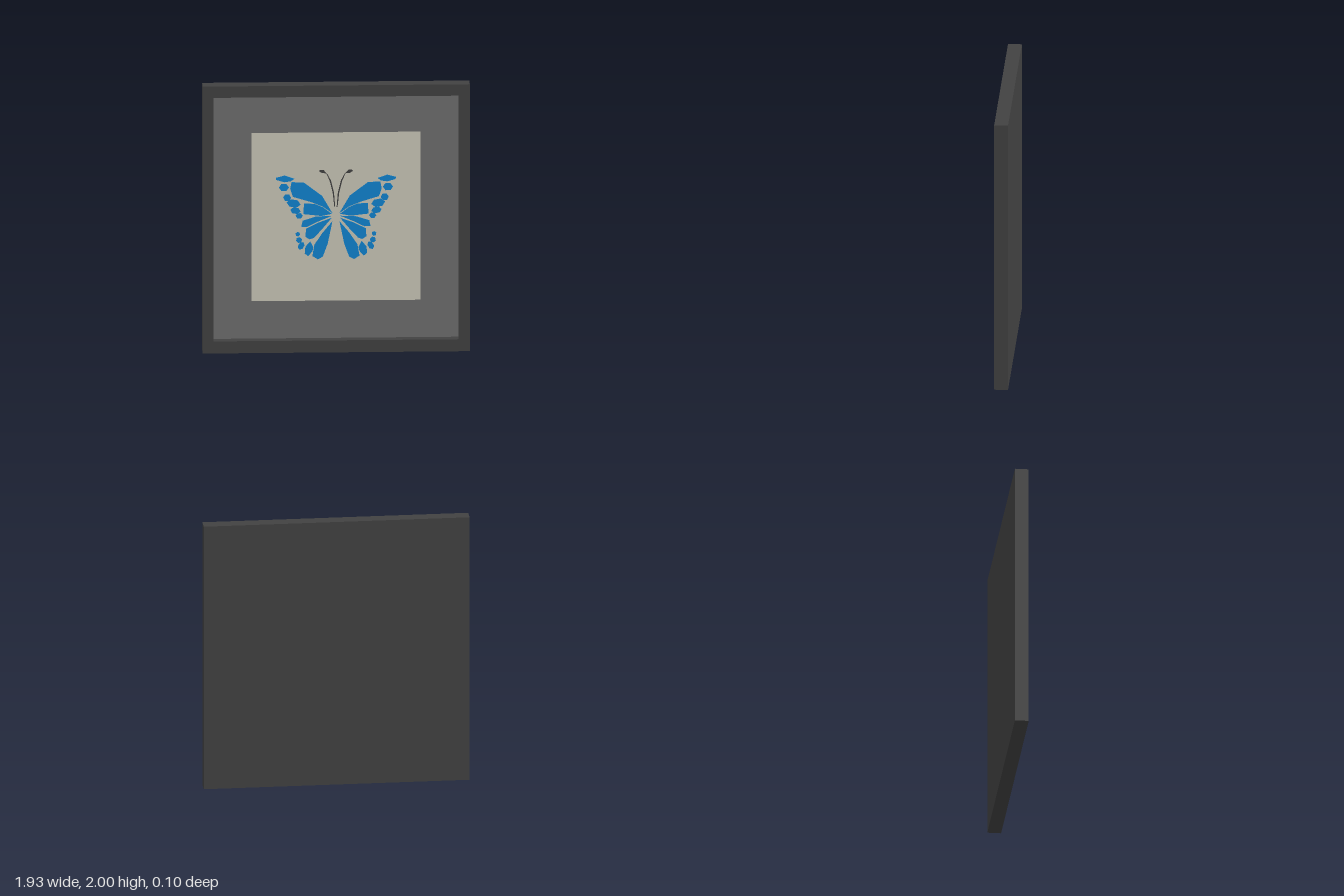
import * as THREE from 'three';

const mat = (name, color) => {
  const m = new THREE.MeshStandardMaterial({ color });
  m.name = name;
  return m;
};

// Wing cells of the left half, x and y in hundredths
const CELLS = {
  foreWingCell: [[2.5, 102.5], [10, 115.5], [23, 125.5], [32, 126], [33, 121], [31, 115], [18, 111], [9.5, 107.5]],
  middleWingCell: [[3, 102], [9.5, 107], [15.5, 109.5], [23, 110], [23.5, 102], [10.5, 100.5]],
  sideWingCell: [[3, 100.5], [14.5, 100], [24, 97], [25, 92.5], [20.5, 92.5], [12.5, 96.5]],
  innerWingCell: [[3, 99], [12.5, 95.5], [21.5, 91], [22, 85], [19, 83], [16, 84], [10.5, 90]],
  hindWingCell: [[2.5, 96.5], [9.5, 88], [15.5, 79], [17, 70.5], [13, 68], [9.5, 70], [6, 79.5]],
  hindWingTip: [[16.3, 77], [18.5, 81.5], [22, 77.5], [22.5, 72.5], [20, 70.5], [17, 74]],
  wingTip: [[30, 128.5], [37, 131], [43.3, 129.3], [43, 127.7], [37, 126], [32.5, 126.7]],
};
// Six-sided spots: centre x, y, radii, tilt in degrees
const SPOTS = [
  [37.5, 122, 3.6, 2.8, 0], [35.2, 114.4, 2.9, 2.5, 5], [30.5, 110, 5.1, 2.9, 10],
  [29.2, 104.6, 3.8, 2.3, 10], [26.5, 100.7, 2.6, 2, 0],
  [25.1, 78.2, 3.2, 2, -60], [26.6, 82.5, 2.3, 2, 45], [27.5, 87, 1.7, 1.6, 20],
];
const ANTENNA = [[0.5, 107], [1.4, 118], [3.6, 127], [6, 131.5], [9, 135], [11.5, 135], [12.2, 134],
  [10, 132.6], [7, 132.4], [4.6, 127], [2.4, 118], [1.1, 107]];

const spotPoints = ([cx, cy, rx, ry, tilt]) => {
  const t = THREE.MathUtils.degToRad(tilt);
  return Array.from({ length: 6 }, (_, i) => {
    const a = i * Math.PI / 3;
    const x = rx * Math.cos(a), y = ry * 1.1 * Math.sin(a);
    return [cx + x * Math.cos(t) - y * Math.sin(t), cy + x * Math.sin(t) + y * Math.cos(t)];
  });
};

export function createModel() {
  const group = new THREE.Group();
  const charcoal = mat('charcoal', 0x424242);
  const grey = mat('grey', 0x6f6f6f);
  const cream = mat('cream', 0xcdcabb);
  const blue = mat('blue', 0x1186d3);

  const W = 0.963, w = 0.883, low = 0.09, high = 1.915, D = 0.05, bed = -0.017;
  const add = (parent, name, geometry, material, x = 0, y = 0, z = 0) => {
    const mesh = new THREE.Mesh(geometry, material);
    mesh.name = name;
    mesh.position.set(x, y, z);
    parent.add(mesh);
  };

  // Frame: outer rectangle with a window cut out, in front of a solid back
  const outline = new THREE.Shape([[-W, 0], [W, 0], [W, 2], [-W, 2]].map(p => new THREE.Vector2(...p)));
  outline.holes.push(new THREE.Path([[-w, low], [-w, high], [w, high], [w, low]].map(p => new THREE.Vector2(...p))));
  add(group, 'frame', new THREE.ExtrudeGeometry(outline, { depth: 2 * D, bevelEnabled: false }), charcoal, 0, 0, -D);
  add(group, 'backBoard', new THREE.BoxGeometry(2 * w, high - low, 0.015), charcoal, 0, (low + high) / 2, -D + 0.0075);

  // Mount and paper lie in the recess
  const mountDepth = bed + D - 0.015;
  add(group, 'mount', new THREE.BoxGeometry(2 * w, high - low, mountDepth), grey, 0, (low + high) / 2, bed - mountDepth / 2);
  add(group, 'paper', new THREE.PlaneGeometry(1.217, 1.26), cream, 0, 1.0, bed + 0.001);

  // Butterfly: thin plates, mirrored across the middle
  const butterfly = new THREE.Group();
  butterfly.name = 'butterfly';
  group.add(butterfly);
  for (const [side, s] of [['left', 1], ['right', -1]]) {
    const plate = (name, points, material) => {
      const shape = new THREE.Shape(points.map(([x, y]) => new THREE.Vector2(s * x / 100, y / 100)));
      const geometry = new THREE.ExtrudeGeometry(shape, { depth: 0.003, bevelEnabled: false });
      add(butterfly, `${side} ${name}`, geometry, material, 0, 0, bed + 0.001);
    };
    for (const [name, points] of Object.entries(CELLS)) plate(name, points, blue);
    SPOTS.forEach((spot, i) => plate(`wingSpot${i + 1}`, spotPoints(spot), blue));
    plate('antenna', ANTENNA, charcoal);
  }
  return group;
}
